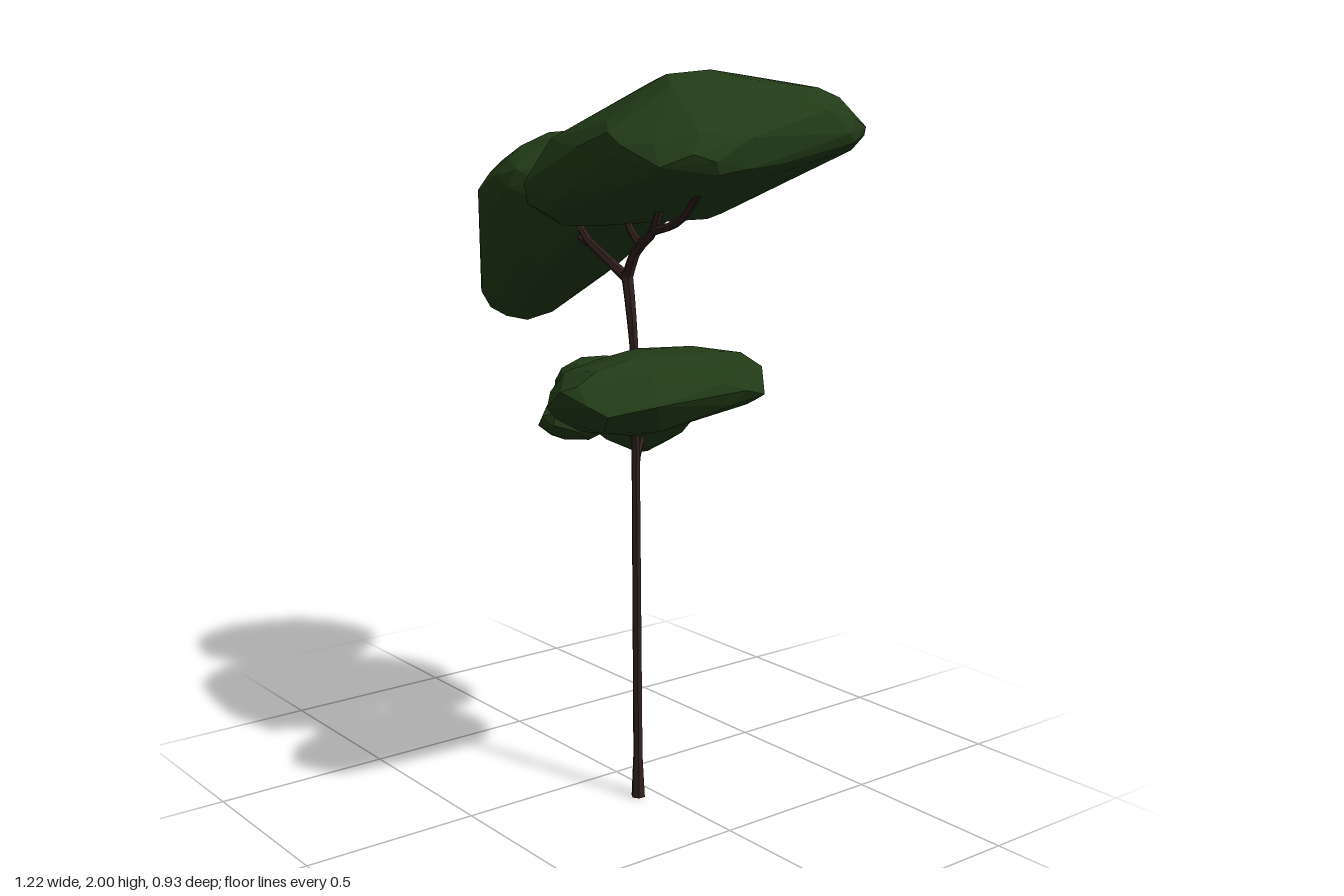
import * as THREE from 'three';
import { ConvexGeometry } from 'three/addons/geometries/ConvexGeometry.js';

const leafMat = new THREE.MeshStandardMaterial({ color: 0x223b17, flatShading: true });
const barkMat = new THREE.MeshStandardMaterial({ color: 0x30201c, flatShading: true });

// Small seeded generator for irregular facets
function seeded(seed) {
  let s = seed;
  return () => (s = (s * 16807) % 2147483647) / 2147483647;
}

// Faceted leaf mass: the hull of points scattered over ellipsoids [x, y, z, rx, ry, rz]
function leafMass(name, seed, balls, count = 60) {
  const rand = seeded(seed);
  const points = [];
  for (const [x, y, z, rx, ry, rz] of balls) {
    for (let i = 0; i < count; i++) {
      const h = 1 - (2 * (i + 0.5)) / count;
      const a = i * 2.39996 + rand() * 0.9;
      const r = Math.sqrt(1 - h * h);
      const k = 0.96 + rand() * 0.09;
      points.push(new THREE.Vector3(x + rx * r * Math.cos(a) * k, y + ry * h * k, z + rz * r * Math.sin(a) * k));
    }
  }
  const mesh = new THREE.Mesh(new ConvexGeometry(points), leafMat);
  mesh.name = name;
  return mesh;
}

// Tapered six-sided limb along a curve; radiusAt(t) gives its thickness
function limb(name, pts, radiusAt, segments = 8) {
  const curve = new THREE.CatmullRomCurve3(pts.map((p) => new THREE.Vector3(...p)));
  const sides = 6;
  const geo = new THREE.TubeGeometry(curve, segments, 1, sides, false);
  const pos = geo.attributes.position;
  const v = new THREE.Vector3();
  for (let i = 0; i <= segments; i++) {
    const c = curve.getPointAt(i / segments);
    for (let j = 0; j <= sides; j++) {
      const n = i * (sides + 1) + j;
      v.fromBufferAttribute(pos, n).sub(c).multiplyScalar(radiusAt(i / segments)).add(c);
      // keep the foot of the trunk flat on the ground
      pos.setXYZ(n, v.x, Math.max(0, v.y), v.z);
    }
  }
  geo.computeVertexNormals();
  const mesh = new THREE.Mesh(geo, barkMat);
  mesh.name = name;
  return mesh;
}

export function createModel() {
  const tree = new THREE.Group();
  tree.name = 'tree';

  // Trunk with a flared foot, thickening a little at the fork
  tree.add(limb('trunk',
    [[0.173, 0, 0.055], [0.165, 0.5, 0.055], [0.157, 1.0, 0.055], [0.15, 1.23, 0.053], [0.12, 1.42, 0.05], [0.11, 1.47, 0.05]],
    (t) => 0.014 - 0.003 * t + 0.006 * Math.max(0, 1 - t * 12) + 0.006 * Math.max(0, t * 6 - 5), 24));

  // Branches: name, path, start radius, end radius
  const branches = [
    ['leftFork', [[0.12, 1.45, 0.05], [0.02, 1.5, 0.05], [-0.1, 1.56, 0.04], [-0.22, 1.66, -0.02]], 0.015, 0.009],
    ['leftTwig', [[-0.05, 1.535, 0.045], [-0.13, 1.535, 0.02], [-0.24, 1.57, -0.04]], 0.011, 0.007],
    ['rightFork', [[0.11, 1.45, 0.05], [0.15, 1.53, 0.05], [0.22, 1.585, 0.05], [0.25, 1.65, 0.05], [0.26, 1.73, 0.05]], 0.016, 0.01],
    ['rightTwig', [[0.22, 1.585, 0.05], [0.33, 1.62, 0.05], [0.43, 1.72, 0.05]], 0.012, 0.008],
    ['innerTwig', [[0.17, 1.545, 0.05], [0.13, 1.58, 0.05], [0.08, 1.66, 0.05]], 0.012, 0.007],
    ['lowLeftBranch', [[0.158, 0.92, 0.055], [0.12, 0.965, 0.02], [0.05, 1.0, -0.05], [-0.03, 1.05, -0.08]], 0.011, 0.007],
    ['lowRightBranch', [[0.155, 1.13, 0.055], [0.2, 1.17, 0.08], [0.3, 1.2, 0.13]], 0.009, 0.006],
    ['lowFrontBranch', [[0.157, 1.03, 0.055], [0.14, 1.06, 0.11], [0.11, 1.08, 0.2]], 0.008, 0.005],
  ];
  for (const [name, path, r0, r1] of branches) {
    tree.add(limb(name, path, (t) => r0 + (r1 - r0) * t));
  }

  // Large right crown, rising to the right and back
  tree.add(leafMass('rightCrown', 11, [
    [0.33, 1.81, 0.02, 0.28, 0.12, 0.29],
    [0.41, 1.79, 0.1, 0.19, 0.09, 0.21],
    [0.4, 1.85, -0.21, 0.19, 0.11, 0.26],
    [0.44, 1.87, -0.2, 0.13, 0.09, 0.18],
    [0.3, 1.82, -0.21, 0.15, 0.1, 0.22],
    [0.06, 1.69, 0.13, 0.18, 0.1, 0.18],
    [0.07, 1.75, 0.06, 0.17, 0.13, 0.2],
    [0.33, 1.88, -0.02, 0.2, 0.12, 0.2],
    [0.12, 1.7, -0.2, 0.12, 0.1, 0.1],
  ], 48));

  // Left crown, drooping at its outer end
  tree.add(leafMass('leftCrown', 23, [
    [-0.2, 1.69, -0.17, 0.2, 0.145, 0.26],
    [-0.2, 1.73, -0.27, 0.14, 0.12, 0.17],
    [-0.31, 1.71, -0.23, 0.15, 0.12, 0.17],
    [-0.33, 1.68, -0.11, 0.22, 0.15, 0.26],
    [-0.42, 1.63, -0.09, 0.15, 0.15, 0.24],
    [-0.42, 1.53, -0.08, 0.16, 0.16, 0.22],
    [-0.37, 1.51, -0.08, 0.14, 0.14, 0.21],
    [-0.505, 1.41, -0.05, 0.11, 0.145, 0.16],
  ], 48));

  // Small lower clumps
  tree.add(leafMass('lowRightClump', 41, [
    [0.36, 1.205, -0.02, 0.175, 0.085, 0.16],
    [0.355, 1.19, 0.25, 0.15, 0.1, 0.215],
    [0.26, 1.22, 0.1, 0.11, 0.07, 0.2],
    [0.26, 1.21, 0.0, 0.11, 0.07, 0.14],
  ], 36));
  tree.add(leafMass('lowLeftClump', 53, [
    [-0.12, 1.13, -0.03, 0.11, 0.08, 0.14],
    [-0.05, 1.04, -0.11, 0.14, 0.105, 0.15],
    [-0.11, 1.09, -0.15, 0.12, 0.09, 0.13],
    [0.02, 1.09, -0.12, 0.13, 0.08, 0.15],
  ], 32));
  tree.add(leafMass('lowFrontClump', 67, [[0.1, 1.09, 0.2, 0.1, 0.06, 0.12]], 32));

  return tree;
}
